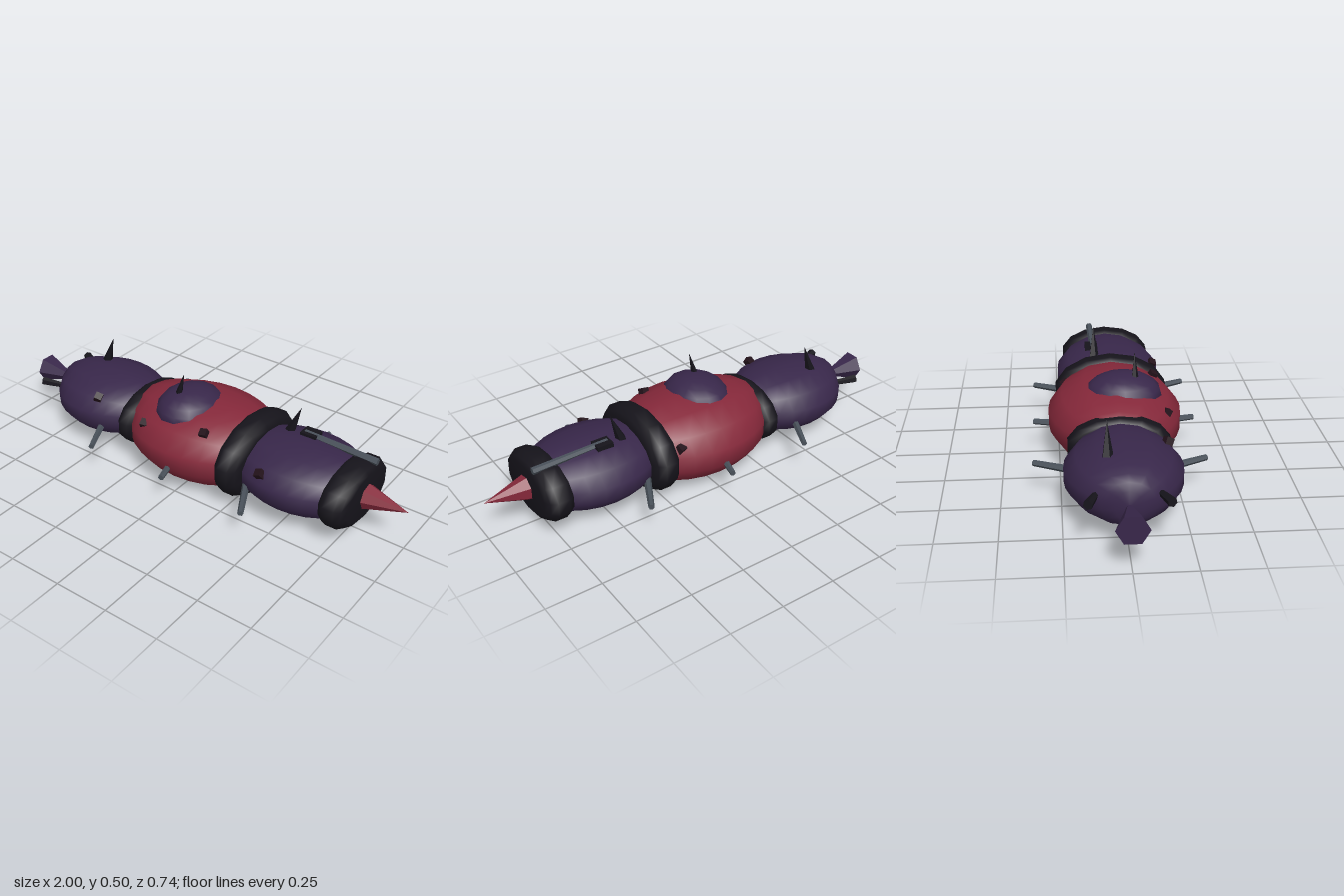
import * as THREE from 'three';
import { mergeVertices } from 'three/addons/utils/BufferGeometryUtils.js';

const mat = (color, flatShading = false) => new THREE.MeshStandardMaterial({ color, flatShading });
const AXIS_Y = 0.19;
const V = (x, y, z) => new THREE.Vector3(x, y, z);

export function createModel() {
  const group = new THREE.Group();
  const purple = mat(0x38274a), red = mat(0x85283a), black = mat(0x16141b);
  const purpleFlat = mat(0x38274a, true), redFlat = mat(0x85283a, true);
  const blackFlat = mat(0x16141b, true), maroonFlat = mat(0x24131b, true), steel = mat(0x49515a, true);

  const add = (name, geometry, material, position) => {
    const mesh = new THREE.Mesh(geometry, material);
    mesh.name = name;
    if (position) mesh.position.copy(position);
    group.add(mesh);
    return mesh;
  };

  // Profile of [x, radius] turned about the x axis, corners at top and bottom
  const turned = (profile, ry, rz) => {
    const g = new THREE.LatheGeometry(profile.map(([x, r]) => new THREE.Vector2(r, x)), 14, Math.PI / 2);
    g.rotateZ(-Math.PI / 2);
    g.scale(1, ry, rz);
    return g;
  };
  const smooth = (g) => {
    g.deleteAttribute('uv');
    g.deleteAttribute('normal');
    const merged = mergeVertices(g, 1e-5);
    merged.computeVertexNormals();
    return merged;
  };

  // Body segment: elliptical from above, boxier from the side
  const segment = (name, x, rx, ry, rz, material) => {
    const profile = [];
    for (let i = 0; i <= 14; i++) {
      const t = (i / 14) * Math.PI;
      profile.push([-Math.cos(t) * rx, Math.max(0, Math.sin(t))]);
    }
    const g = turned(profile, ry, rz);
    const p = g.attributes.position;
    for (let i = 0; i < p.count; i++) {
      const s = Math.sqrt(Math.max(0, 1 - (p.getX(i) / rx) ** 2));
      if (s > 0.01) p.setY(i, p.getY(i) / Math.sqrt(s));
    }
    add(name, smooth(g), material, V(x, AXIS_Y, 0));
  };
  segment('rearSegment', -0.56, 0.28, 0.142, 0.247, purple);
  segment('middleSegment', -0.015, 0.365, 0.184, 0.302, red);
  segment('frontSegment', 0.5, 0.3, 0.142, 0.251, purple);

  // Rounded collars joining the segments, the last one closing the nose
  const collar = (name, x, half, ry, rz) => {
    const profile = [[-1, 0], [-1, 0.75], [-0.8, 0.89], [-0.4, 0.99], [0.4, 0.99], [0.8, 0.89], [1, 0.75], [1, 0]];
    add(name, smooth(turned(profile.map(([a, r]) => [a * half, r]), ry, rz)), black, V(x, AXIS_Y, 0));
  };
  collar('rearCollar', -0.32, 0.054, 0.134, 0.226);
  collar('middleCollar', 0.257, 0.065, 0.179, 0.268);
  collar('noseCollar', 0.745, 0.066, 0.135, 0.222);

  // Dome on the middle segment
  const dome = add('dome', new THREE.SphereGeometry(1, 14, 10), purple, V(-0.07, 0.315, 0.035));
  dome.scale.set(0.148, 0.1, 0.172);

  // Tapered rod between two points
  const rod = (name, a, b, ra, rb, sides, material) => {
    const dir = b.clone().sub(a);
    const g = new THREE.CylinderGeometry(rb, ra, dir.length(), sides);
    const mesh = add(name, g, material, a.clone().add(b).multiplyScalar(0.5));
    mesh.quaternion.setFromUnitVectors(V(0, 1, 0), dir.normalize());
  };

  // Nose and flared tail
  rod('noseCone', V(0.8, AXIS_Y, 0), V(1, AXIS_Y, 0), 0.06, 0, 7, redFlat);
  rod('tailFlare', V(-0.8, AXIS_Y, 0), V(-1, AXIS_Y, 0), 0, 0.066, 6, purpleFlat);

  // Back spikes
  rod('rearSpike', V(-0.655, 0.31, -0.07), V(-0.61, 0.445, -0.07), 0.024, 0, 5, blackFlat);
  rod('domeSpike', V(-0.1, 0.385, 0.085), V(-0.065, 0.51, 0.085), 0.018, 0, 5, blackFlat);
  rod('frontSpike', V(0.39, 0.31, -0.07), V(0.44, 0.445, -0.07), 0.024, 0, 5, blackFlat);

  // Paired legs and tail thrusters
  for (const side of [1, -1]) {
    for (const [x0, x1] of [[-0.475, -0.385], [-0.035, 0.015], [0.335, 0.43]]) {
      rod('leg', V(x0, 0.155, side * 0.18), V(x1, 0.151, side * 0.363), 0.017, 0.013, 6, steel);
    }
    rod('tailThruster', V(-0.76, 0.218, side * 0.115), V(-0.875, 0.228, side * 0.157), 0.011, 0.02, 6, blackFlat);
  }

  // Cannon on the front segment
  add('cannonMount', new THREE.BoxGeometry(0.075, 0.035, 0.06), blackFlat, V(0.487, 0.32, -0.08));
  rod('cannonBarrel', V(0.46, 0.328, -0.075), V(0.81, 0.316, -0.075), 0.013, 0.016, 6, steel);

  // Small studs set into the hull
  const studs = [[-0.49, 0.285, 0.185], [-0.19, 0.273, 0.215], [0.115, 0.322, 0.185],
    [0.42, 0.256, 0.212], [0.183, 0.26, -0.215]];
  for (const [x, y, z] of studs) {
    const stud = add('stud', new THREE.BoxGeometry(0.034, 0.034, 0.034), maroonFlat, V(x, y, z));
    stud.rotation.set(0.5 * Math.sign(z), 0.2, x);
  }
  return group;
}
